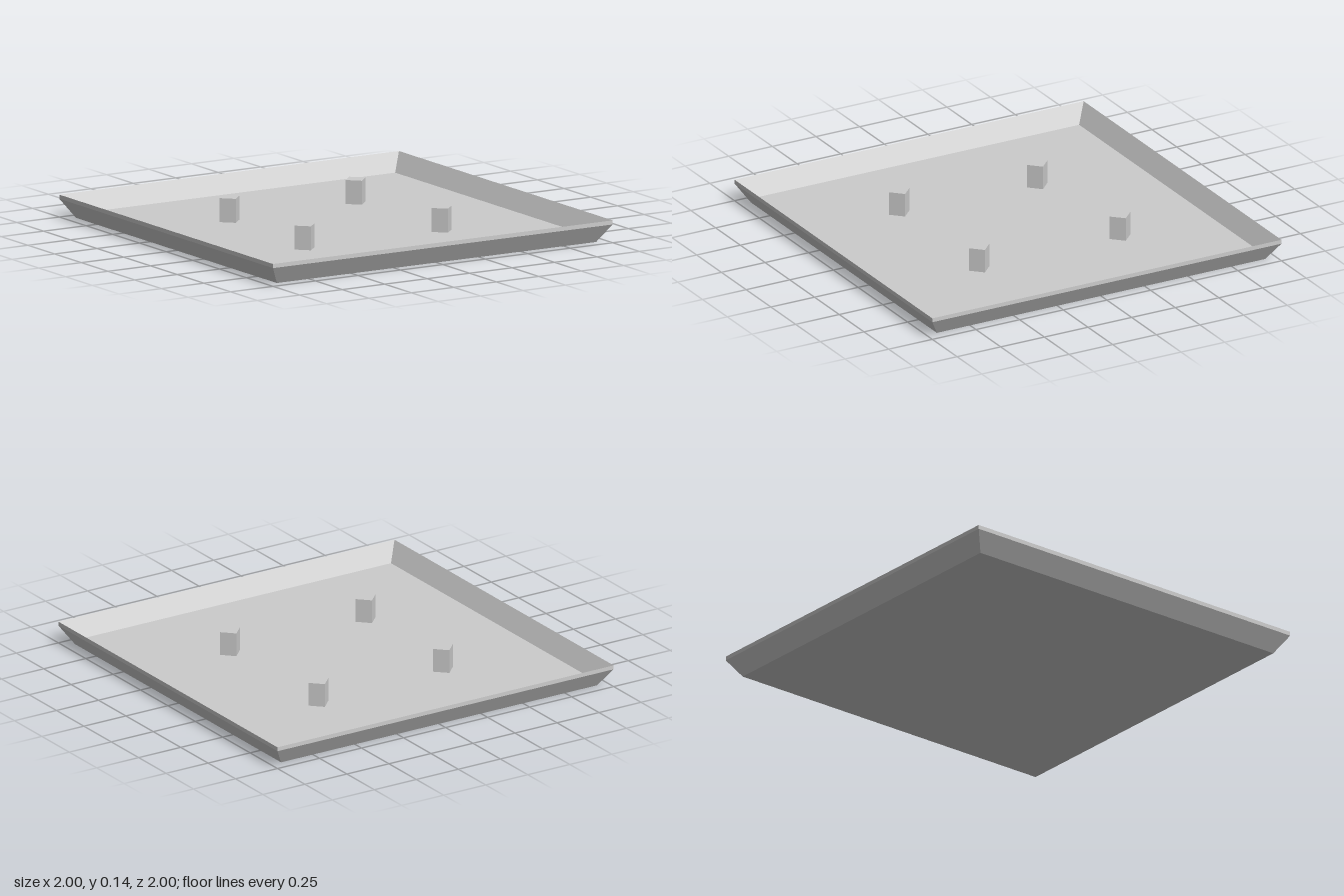
import * as THREE from 'three';

export function createModel() {
  const model = new THREE.Group();
  const material = new THREE.MeshStandardMaterial({ color: 0xcccccc, flatShading: true });

  // Square tray: a four-sided lathe of the floor, flared wall and sharp rim
  const profile = [
    [0, 0], [0.94, 0], [1, 0.093], [1, 0.114], [0.94, 0.021], [0, 0.021],
  ].map(([half, y]) => new THREE.Vector2(half * Math.SQRT2, y));
  const trayGeometry = new THREE.LatheGeometry(profile, 4, Math.PI / 4).toNonIndexed();
  trayGeometry.computeVertexNormals();
  const tray = new THREE.Mesh(trayGeometry, material);
  tray.name = 'tray';
  model.add(tray);

  // Four square pegs, turned 45 degrees and set into the floor
  const pegHeight = 0.143;
  const pegSide = 0.059 * Math.SQRT2;
  const pegGeometry = new THREE.BoxGeometry(pegSide, pegHeight, pegSide);
  const pegs = new THREE.Group();
  pegs.name = 'pegs';
  for (const [x, z] of [[-0.385, -0.385], [0.382, -0.425], [-0.425, 0.382], [0.382, 0.382]]) {
    const peg = new THREE.Mesh(pegGeometry, material);
    peg.name = 'peg';
    peg.position.set(x, pegHeight / 2, z);
    peg.rotation.y = Math.PI / 4;
    pegs.add(peg);
  }
  model.add(pegs);

  return model;
}
